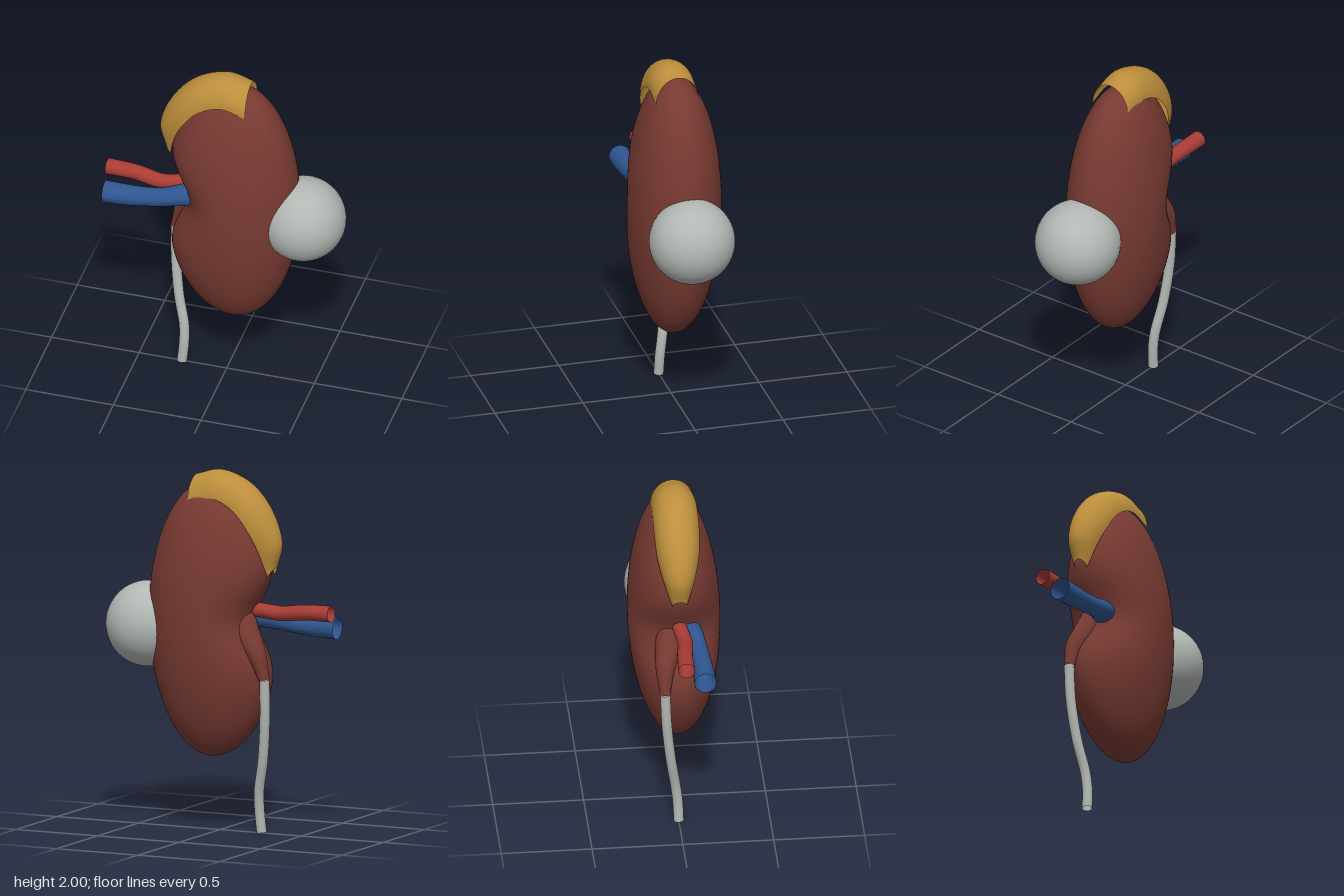
import * as THREE from 'three';
import { mergeVertices } from 'three/addons/utils/BufferGeometryUtils.js';

const V = (p) => new THREE.Vector3(...p);

// Open tube along a smooth path; radii are spread evenly along its length
function taperedTube(points, radii, steps = 40, sides = 28) {
  const curve = new THREE.CatmullRomCurve3(points.map(V));
  const geo = new THREE.TubeGeometry(curve, steps, 1, sides, false);
  const radiusCurve = new THREE.SplineCurve(radii.map((r, i) => new THREE.Vector2(i, r)));
  const pos = geo.attributes.position;
  const v = new THREE.Vector3();
  for (let i = 0; i <= steps; i++) {
    const c = curve.getPointAt(i / steps);
    const r = radiusCurve.getPoint(i / steps).y;
    for (let j = 0; j <= sides; j++) {
      const k = i * (sides + 1) + j;
      v.fromBufferAttribute(pos, k).sub(c).multiplyScalar(r).add(c);
      pos.setXYZ(k, v.x, v.y, v.z);
    }
  }
  geo.computeVertexNormals();
  return geo;
}

// Bean shape: stretched sphere with a dent on the -x side
function beanGeometry() {
  const geo = new THREE.SphereGeometry(1, 80, 64);
  const pos = geo.attributes.position;
  for (let i = 0; i < pos.count; i++) {
    const x = pos.getX(i), t = pos.getY(i), z = pos.getZ(i);
    const y = 1.17 + 0.763 * t;
    const dent = 0.15 * Math.exp(-(((y - 1.17) / 0.21) ** 2));
    const reach = x < 0 ? 0.41 - dent : 0.36;
    pos.setXYZ(i, 0.055 + reach * x, y, 0.255 * z - 0.013 * t);
  }
  geo.deleteAttribute('uv');
  geo.deleteAttribute('normal');
  const merged = mergeVertices(geo, 1e-5);
  merged.computeVertexNormals();
  return merged;
}

// Arched shell: each section rises from an inner point to an outer ridge
function capGeometry() {
  // inner x, y, outer x, y, half width
  const sections = [
    [0.14, 1.815, 0.14, 1.967, 0.122], [0, 1.855, 0, 2.0, 0.125],
    [-0.13, 1.80, -0.18, 1.935, 0.125], [-0.22, 1.69, -0.31, 1.79, 0.115],
    [-0.275, 1.57, -0.375, 1.61, 0.085], [-0.31, 1.43, -0.345, 1.475, 0.04],
  ];
  const inner = new THREE.CatmullRomCurve3(sections.map((s) => V([s[0], s[1], s[4]])));
  const outer = new THREE.CatmullRomCurve3(sections.map((s) => V([s[2], s[3], 0])));
  const rows = 40, cols = 28, verts = [], index = [];
  for (let i = 0; i <= rows; i++) {
    const p = inner.getPoint(i / rows), q = outer.getPoint(i / rows);
    for (let j = 0; j <= cols; j++) {
      const a = (Math.PI * j) / cols, h = Math.sin(a);
      verts.push(p.x + (q.x - p.x) * h, p.y + (q.y - p.y) * h, p.z * Math.cos(a));
      if (i < rows && j < cols) {
        const k = i * (cols + 1) + j, n = k + cols + 1;
        index.push(k, k + 1, n, k + 1, n + 1, n);
      }
    }
  }
  const geo = new THREE.BufferGeometry();
  geo.setAttribute('position', new THREE.Float32BufferAttribute(verts, 3));
  geo.setIndex(index);
  geo.computeVertexNormals();
  return geo;
}

export function createModel() {
  const material = (name, color) => {
    const m = new THREE.MeshStandardMaterial({ color, side: THREE.DoubleSide });
    m.name = name;
    return m;
  };
  const brown = material('reddish brown', 0x783a32);
  const ochre = material('ochre', 0xbd8f3c);
  const red = material('red', 0xa83c34);
  const blue = material('blue', 0x2f5590);
  const grey = material('pale grey', 0xb2b7b3);

  const group = new THREE.Group();
  group.name = 'kidney';
  const add = (name, geo, mat) => {
    const mesh = new THREE.Mesh(geo, mat);
    mesh.name = name;
    group.add(mesh);
    return mesh;
  };

  add('kidneyBody', beanGeometry(), brown);
  add('adrenalCap', capGeometry(), ochre);

  // Round growth on the outer side
  add('cyst', new THREE.SphereGeometry(0.237, 48, 32), grey).position.set(0.437, 1.115, 0);

  // Vessels entering the dent
  add('artery', taperedTube(
    [[-0.68, 1.243, 0.005], [-0.52, 1.24, 0.01], [-0.36, 1.222, 0.025], [-0.24, 1.235, 0.01], [-0.14, 1.235, 0]],
    [0.045, 0.043, 0.042, 0.04, 0.04]), red);
  add('vein', taperedTube(
    [[-0.665, 1.148, 0.11], [-0.5, 1.152, 0.108], [-0.34, 1.168, 0.098], [-0.24, 1.188, 0.08], [-0.18, 1.195, 0.06]],
    [0.061, 0.058, 0.053, 0.054, 0.066]), blue);

  // Funnel narrowing into the long drain tube
  add('renalPelvis', taperedTube(
    [[-0.312, 0.86, -0.08], [-0.262, 1.0, -0.075], [-0.19, 1.1, -0.05], [-0.12, 1.22, -0.02]],
    [0.03, 0.052, 0.075, 0.085]), brown);
  add('ureter', taperedTube(
    [[-0.313, 0.865, -0.08], [-0.31, 0.65, -0.07], [-0.285, 0.41, -0.045], [-0.248, 0.23, -0.018], [-0.245, 0.12, -0.005], [-0.255, 0.003, 0]],
    [0.028, 0.028, 0.028, 0.028, 0.028]), grey);

  return group;
}
